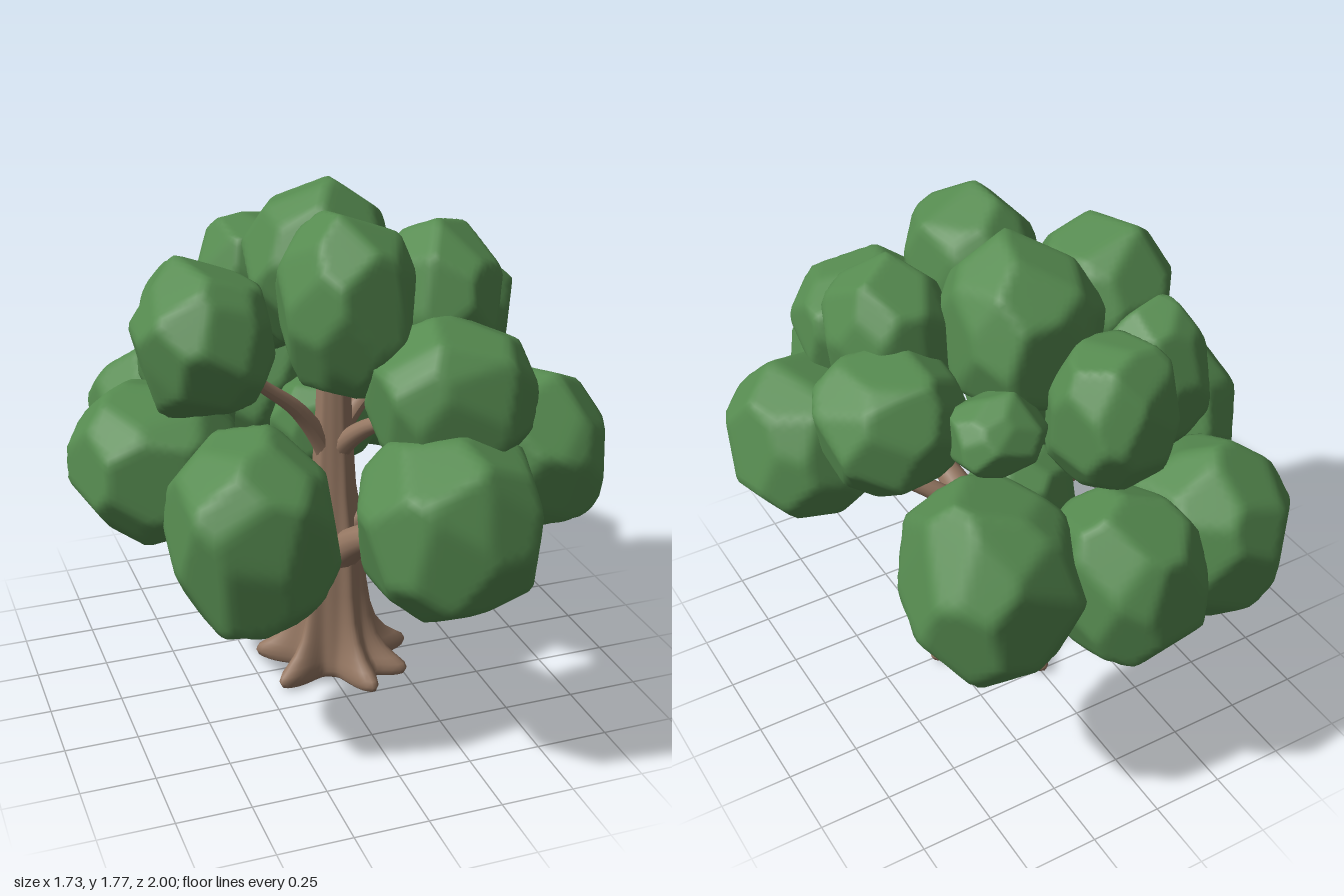
import * as THREE from 'three';
import { mergeVertices } from 'three/addons/utils/BufferGeometryUtils.js';

const leafGreen = new THREE.MeshStandardMaterial({ color: 0x568b50 });
const barkBrown = new THREE.MeshStandardMaterial({ color: 0x967863 });
leafGreen.name = 'leafGreen';
barkBrown.name = 'barkBrown';

// Small seeded random generator
function seeded(seed) {
  let s = seed * 7919 + 17;
  return () => {
    s = (s * 16807) % 2147483647;
    return s / 2147483647;
  };
}

// Foliage clump: a slightly boxy ball cut by scattered planes with softened edges,
// fitted to the given radii
function clumpGeometry(seed, rx, ry, rz) {
  const rand = seeded(seed);
  for (let i = 0; i < 5; i++) rand();
  const count = 30, spin = rand() * 6.28, planes = [], q = 1.7;
  for (let i = 0; i < count; i++) {
    const y = 1 - (2 * (i + 0.5)) / count;
    const a = i * 2.39996 + spin, r = Math.sqrt(1 - y * y);
    const n = new THREE.Vector3(r * Math.cos(a), y, r * Math.sin(a));
    n.x += (rand() - 0.5) * 0.4;
    n.y += (rand() - 0.5) * 0.4;
    n.z += (rand() - 0.5) * 0.4;
    n.normalize();
    const boxy = Math.pow(n.toArray().reduce((s, c) => s + Math.pow(Math.abs(c), q), 0), 1 / q);
    planes.push({ n, d: boxy * (0.95 + rand() * 0.05) });
  }
  let g = new THREE.IcosahedronGeometry(1, 13);
  g.deleteAttribute('uv');
  g.deleteAttribute('normal');
  g = mergeVertices(g, 1e-4);
  const p = g.attributes.position, v = new THREE.Vector3(), k = 100;
  for (let i = 0; i < p.count; i++) {
    v.fromBufferAttribute(p, i).normalize();
    let sum = 0;
    for (const { n, d } of planes) sum += Math.pow(Math.max(v.dot(n), 0) / d, k);
    v.multiplyScalar(Math.pow(sum, -1 / k));
    p.setXYZ(i, v.x, v.y, v.z);
  }
  g.center();
  const { max } = g.boundingBox.setFromBufferAttribute(p);
  g.scale(rx / max.x, ry / max.y, rz / max.z);
  g.computeVertexNormals();
  return g;
}

// Clumps: centre x, y, z and radii
const CLUMPS = {
  lowerFrontRight: [-0.38, 0.81, 0.44, 0.27, 0.32, 0.28],
  lowerFront: [0.175, 0.85, 0.7, 0.305, 0.31, 0.3],
  lowerLeft: [0.58, 0.92, 0.35, 0.28, 0.28, 0.3],
  lowerRight: [-0.58, 0.85, -0.07, 0.285, 0.28, 0.31],
  lowerBackLeft: [0.425, 0.91, -0.595, 0.265, 0.33, 0.275],
  lowerBack: [0, 0.86, -0.73, 0.25, 0.29, 0.27],
  lowerBackRight: [-0.42, 0.78, -0.6, 0.265, 0.31, 0.275],
  innerBack: [0.08, 0.86, -0.23, 0.19, 0.17, 0.16],
  middleFront: [0.26, 1.19, 0.47, 0.26, 0.26, 0.26],
  middleLeft: [0.495, 1.24, -0.14, 0.245, 0.23, 0.24],
  middleRight: [-0.435, 1.33, 0.09, 0.23, 0.26, 0.26],
  middleBack: [-0.09, 1.3, -0.51, 0.21, 0.25, 0.21],
  smallBackLeft: [0.26, 1.28, -0.385, 0.15, 0.14, 0.15],
  tallBackRight: [-0.39, 1.2, -0.31, 0.18, 0.29, 0.165],
  topFront: [-0.005, 1.455, 0.235, 0.22, 0.3, 0.25],
  topLeft: [0.365, 1.385, 0.11, 0.21, 0.285, 0.24],
  topBack: [0.025, 1.48, -0.15, 0.25, 0.29, 0.26],
};

// Trunk rings: height, groove radius, ridge radius
const RINGS = [
  [0, 0.12, 0.25], [0.01, 0.13, 0.275], [0.03, 0.133, 0.285], [0.05, 0.13, 0.275],
  [0.07, 0.128, 0.245], [0.1, 0.122, 0.205], [0.15, 0.116, 0.167], [0.22, 0.108, 0.143],
  [0.32, 0.102, 0.126], [0.45, 0.098, 0.118], [0.56, 0.09, 0.108], [0.7, 0.073, 0.083],
  [0.9, 0.062, 0.068], [1.1, 0.055, 0.06], [1.4, 0.035, 0.038],
];
const TRUNK_X = 0.04;
// Directions of the roots, in degrees from +x towards +z
const ROOTS = [150, 78, 42, -3, -46, -100, -155];

// Trunk with ridges that spread into roots
function trunkGeometry() {
  const sides = 108, pos = [], idx = [];
  const lobeAt = (deg) => Math.min(1, ROOTS.reduce((s, root) => {
    const off = THREE.MathUtils.euclideanModulo(deg - root + 180, 360) - 180;
    return s + Math.exp(-Math.pow(off / 14, 2));
  }, 0));
  RINGS.forEach(([y, groove, ridge]) => {
    for (let i = 0; i < sides; i++) {
      const a = (i / sides) * Math.PI * 2;
      const r = groove + (ridge - groove) * lobeAt((i / sides) * 360);
      pos.push(r * Math.cos(a), y, r * Math.sin(a));
    }
  });
  for (let j = 0; j < RINGS.length - 1; j++) {
    for (let i = 0; i < sides; i++) {
      const a = j * sides + i, b = j * sides + ((i + 1) % sides);
      idx.push(a, a + sides, b, b, a + sides, b + sides);
    }
  }
  const centre = pos.length / 3;
  pos.push(0, 0.02, 0);
  for (let i = 0; i < sides; i++) idx.push(centre, i, (i + 1) % sides);
  const g = new THREE.BufferGeometry();
  g.setAttribute('position', new THREE.Float32BufferAttribute(pos, 3));
  g.setIndex(idx);
  g.computeVertexNormals();
  return g;
}

// Tapered tube for a branch
function branchGeometry(points, r0, r1) {
  const curve = new THREE.CatmullRomCurve3(points.map((q) => new THREE.Vector3(...q)));
  const seg = 20, rad = 12;
  const g = new THREE.TubeGeometry(curve, seg, 1, rad);
  const p = g.attributes.position, v = new THREE.Vector3();
  for (let i = 0; i <= seg; i++) {
    const c = curve.getPointAt(i / seg);
    const r = r1 + (r0 - r1) * Math.pow(1 - i / seg, 1.5);
    for (let j = 0; j <= rad; j++) {
      const n = i * (rad + 1) + j;
      v.fromBufferAttribute(p, n).sub(c).multiplyScalar(r).add(c);
      p.setXYZ(n, v.x, v.y, v.z);
    }
  }
  g.computeVertexNormals();
  return g;
}

// Branches: clump reached, start height, thickness
const BRANCHES = [
  ['lowerFrontRight', 0.34, 0.08], ['lowerFront', 0.38, 0.075], ['lowerLeft', 0.46, 0.055],
  ['lowerRight', 0.45, 0.06], ['lowerBack', 0.34, 0.085], ['lowerBackRight', 0.42, 0.05],
  ['middleFront', 0.8, 0.045], ['middleRight', 0.75, 0.045], ['middleLeft', 0.85, 0.04],
];

export function createModel() {
  const tree = new THREE.Group();
  tree.name = 'tree';
  const add = (parent, name, geometry, material) => {
    const mesh = new THREE.Mesh(geometry, material);
    mesh.name = name;
    parent.add(mesh);
    return mesh;
  };

  add(tree, 'trunk', trunkGeometry(), barkBrown).position.x = TRUNK_X;

  // Branches leave the trunk steeply, then bend out into their clumps
  const branches = new THREE.Group();
  branches.name = 'branches';
  for (const [target, y0, r] of BRANCHES) {
    const [x, y, z] = CLUMPS[target];
    const dx = x - TRUNK_X, end = y - 0.06;
    const at = (t, h) => [TRUNK_X + dx * t, y0 + (end - y0) * h, z * t];
    const points = [at(0, 0), at(0.07, 0.2), at(0.3, 0.52), at(0.6, 0.76), at(0.85, 1)];
    add(branches, target + 'Branch', branchGeometry(points, r, r * 0.4), barkBrown);
  }

  const foliage = new THREE.Group();
  foliage.name = 'foliage';
  Object.entries(CLUMPS).forEach(([name, [x, y, z, rx, ry, rz]], i) => {
    add(foliage, name + 'Clump', clumpGeometry(i + 1, rx, ry, rz), leafGreen).position.set(x, y, z);
  });

  tree.add(branches, foliage);
  return tree;
}
